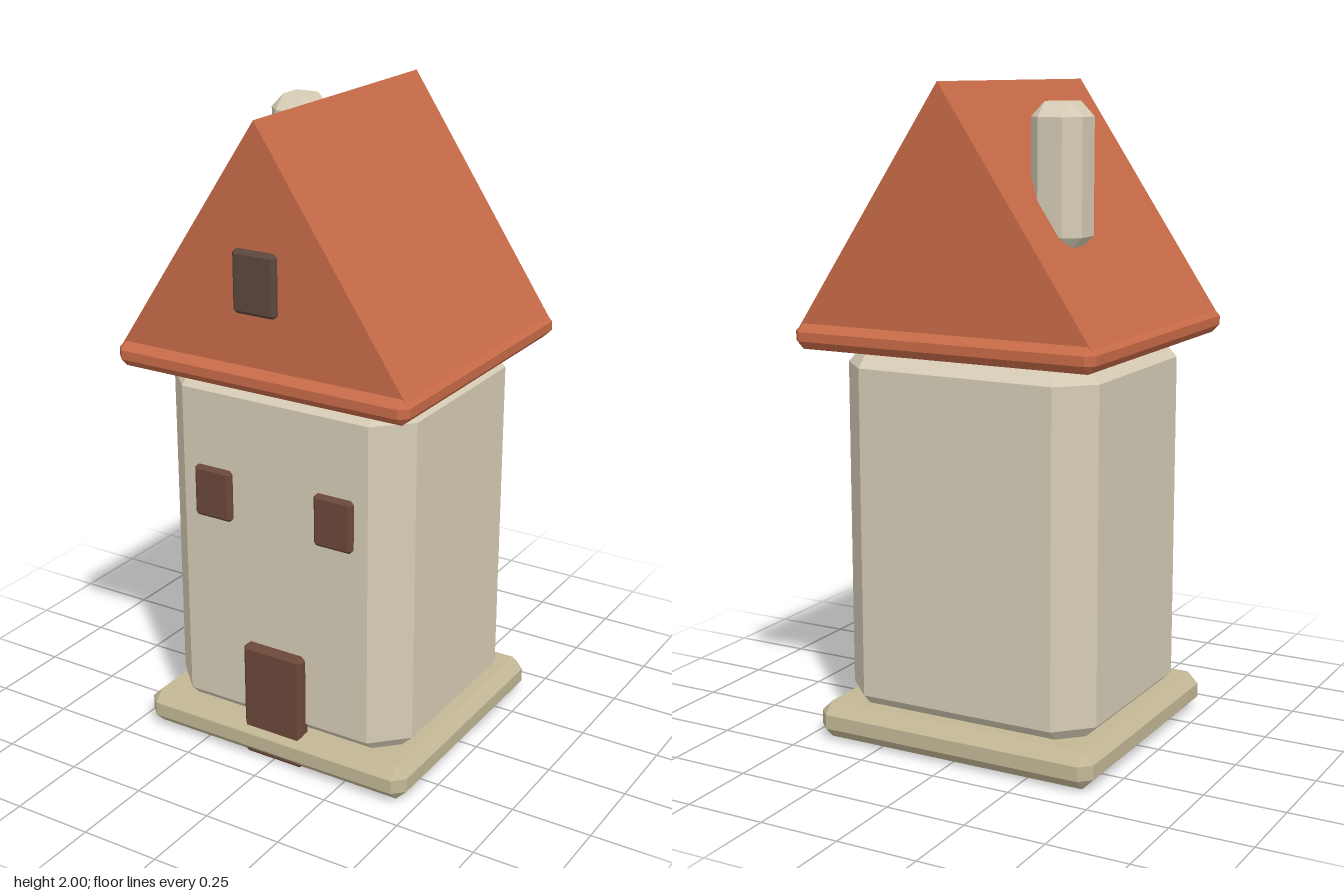
import * as THREE from 'three';
import { ConvexGeometry } from 'three/addons/geometries/ConvexGeometry.js';

const material = (name, color) => {
  const m = new THREE.MeshStandardMaterial({ color });
  m.name = name;
  return m;
};

// Box between two corners with every edge and corner cut off by c
function chamferBox([x0, y0, z0], [x1, y1, z1], c) {
  const points = [];
  for (const [x, sx] of [[x0, 1], [x1, -1]])
    for (const [y, sy] of [[y0, 1], [y1, -1]])
      for (const [z, sz] of [[z0, 1], [z1, -1]]) {
        const cx = x + sx * c, cy = y + sy * c, cz = z + sz * c;
        points.push(
          new THREE.Vector3(x, cy, cz),
          new THREE.Vector3(cx, y, cz),
          new THREE.Vector3(cx, cy, z));
      }
  return new ConvexGeometry(points);
}

export function createModel() {
  const house = new THREE.Group();
  house.name = 'house';

  const plaster = material('plaster', 0xd6ccb5);
  const stone = material('stone', 0xc2b795);
  const tile = material('roof tile', 0xc86b48);
  const wood = material('brown wood', 0x6b4839);
  const darkWood = material('dark wood', 0x5c483c);

  const add = (name, geometry, mat) => {
    const mesh = new THREE.Mesh(geometry, mat);
    mesh.name = name;
    house.add(mesh);
  };

  // Foundation slab and walls
  add('foundation', chamferBox([-0.466, 0.003, -0.42], [0.466, 0.117, 0.42], 0.035), stone);
  add('walls', chamferBox([-0.42, 0.05, -0.373], [0.42, 1.265, 0.373], 0.1), plaster);

  // Eaves slab and gabled roof
  add('eaves', chamferBox([-0.491, 1.223, -0.467], [0.491, 1.301, 0.467], 0.025), tile);
  const gable = new THREE.Shape([
    new THREE.Vector2(-0.48, 1.285),
    new THREE.Vector2(0.48, 1.285),
    new THREE.Vector2(0, 2),
  ]);
  const roof = new THREE.ExtrudeGeometry(gable, { depth: 0.888, bevelEnabled: false });
  roof.translate(0, 0, -0.444);
  add('roof', roof, tile);

  // Chimney
  add('chimney', chamferBox([-0.34, 1.525, -0.272], [-0.178, 1.945, -0.11], 0.043), plaster);

  // Door and windows
  add('door', chamferBox([-0.105, 0, 0.35], [0.105, 0.378, 0.402], 0.013), wood);
  for (const [name, x] of [['rightWindow', -0.21], ['leftWindow', 0.209]])
    add(name, chamferBox([x - 0.065, 0.765, 0.35], [x + 0.065, 0.928, 0.391], 0.01), wood);
  add('atticWindow', chamferBox([-0.071, 1.456, 0.42], [0.071, 1.641, 0.464], 0.011), darkWood);

  return house;
}
